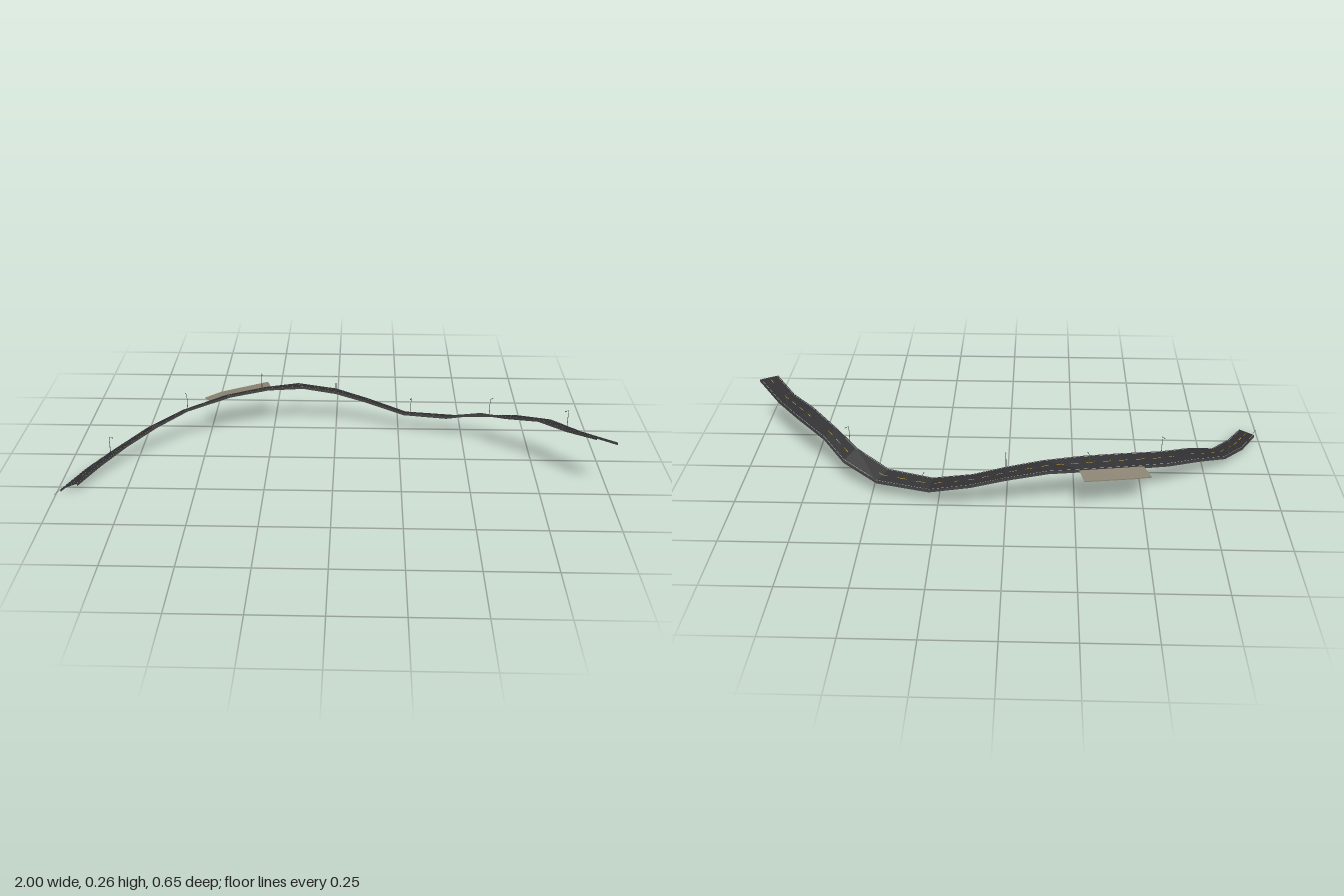
import * as THREE from 'three';

// Road stations: outer edge x, y, z then inner edge x, y, z
const S = [
  [-0.988, 0.01, 0.285, -0.925, 0.035, 0.285], [-0.92, 0.027, 0.155, -0.862, 0.053, 0.17],
  [-0.835, 0.05, 0.043, -0.783, 0.077, 0.06], [-0.72, 0.095, -0.055, -0.68, 0.121, -0.015],
  [-0.595, 0.127, -0.145, -0.57, 0.153, -0.096], [-0.435, 0.157, -0.22, -0.41, 0.182, -0.165],
  [-0.28, 0.172, -0.267, -0.265, 0.194, -0.208], [-0.152, 0.178, -0.294, -0.13, 0.19, -0.235],
  [0, 0.152, -0.302, 0, 0.165, -0.243], [0.125, 0.115, -0.294, 0.12, 0.13, -0.24],
  [0.28, 0.072, -0.262, 0.27, 0.092, -0.208], [0.475, 0.08, -0.22, 0.435, 0.1, -0.165],
  [0.605, 0.12, -0.145, 0.56, 0.15, -0.1], [0.69, 0.165, -0.055, 0.645, 0.18, -0.01],
  [0.805, 0.197, 0.043, 0.75, 0.218, 0.085], [0.9, 0.205, 0.155, 0.84, 0.224, 0.177],
  [1.0, 0.231, 0.285, 0.925, 0.25, 0.285],
];
const LAST = S.length - 1;

// Point at station u, t across the road (0 outer, 1 inner), raised by lift
function at(u, t, lift = 0) {
  const i = Math.min(LAST - 1, Math.max(0, Math.floor(u)));
  const p = S[i].map((v, k) => v + (S[i + 1][k] - v) * (u - i));
  const a = new THREE.Vector3(p[0], p[1], p[2]);
  const b = new THREE.Vector3(p[3], p[4], p[5]);
  a.lerp(b, t).y += lift;
  return a;
}

const mat = (color) => new THREE.MeshStandardMaterial({ color, side: THREE.DoubleSide, flatShading: true });

// Ribbon along the road between two [t, lift] rails
function strip(name, u0, u1, [tA, lA], [tB, lB], material) {
  const us = [u0];
  for (let u = Math.floor(u0) + 1; u < u1; u++) us.push(u);
  us.push(u1);
  const pos = [];
  for (let i = 0; i < us.length - 1; i++) {
    const a = at(us[i], tA, lA), b = at(us[i], tB, lB);
    const c = at(us[i + 1], tB, lB), d = at(us[i + 1], tA, lA);
    for (const p of [a, b, c, a, c, d]) pos.push(p.x, p.y, p.z);
  }
  const g = new THREE.BufferGeometry();
  g.setAttribute('position', new THREE.Float32BufferAttribute(pos, 3));
  g.computeVertexNormals();
  const mesh = new THREE.Mesh(g, material);
  mesh.name = name;
  return mesh;
}

// Street lamp whose arm reaches over the road
function lamp(u, side, material) {
  const group = new THREE.Group();
  group.name = 'streetLamp';
  const base = at(u, side, 0);
  const toRoad = at(u, 0.5).sub(base);
  group.position.copy(base);
  group.rotation.y = Math.atan2(-toRoad.z, toRoad.x);
  const add = (name, geometry, x, y) => {
    const m = new THREE.Mesh(geometry, material);
    m.name = name;
    m.position.set(x, y, 0);
    group.add(m);
  };
  add('lampPole', new THREE.CylinderGeometry(0.0008, 0.0013, 0.062, 6), 0, 0.031);
  add('lampArm', new THREE.BoxGeometry(0.016, 0.001, 0.001), 0.008, 0.062);
  add('lampHead', new THREE.BoxGeometry(0.006, 0.0014, 0.003), 0.014, 0.0615);
  return group;
}

export function createModel() {
  const root = new THREE.Group();
  root.name = 'coastalRoad';
  const asphalt = mat(0x303032), concrete = mat(0x444444), white = mat(0xb8b8b8);
  const yellow = mat(0xc09a20), tan = mat(0x8c8574), metal = mat(0x4a4d50);

  // Deck with hanging skirts along both edges
  root.add(strip('roadDeck', 0, LAST, [0, 0], [1, 0], asphalt));
  for (const t of [0, 1]) {
    root.add(strip('roadSkirt', 0, LAST, [t, 0], [t, -0.01], concrete));
    const e = t ? 0.94 : 0.06;
    root.add(strip('edgeLine', 0, LAST, [e - 0.008, 0.0007], [e + 0.008, 0.0007], white));
  }

  // Dashed centre line
  for (let u = 0.1; u < LAST - 0.2; u += 0.4) {
    root.add(strip('centreDash', u, u + 0.2, [0.485, 0.0007], [0.515, 0.0007], yellow));
  }

  // Lay-by on the outer side
  root.add(strip('layby', 4.6, 6.15, [-1, 0.013], [0, -0.001], tan));
  root.add(strip('laybySkirt', 4.6, 6.15, [-1, 0.013], [-1, 0.009], tan));

  // Thin edge strip running past the left end
  root.add(strip('edgeTail', -0.3, 0, [0.11, 0.004], [0.14, 0.003], metal));

  // Lamps alternating between the two sides
  [1.85, 4, 5.9, 8, 10.1, 12.35, 14.52].forEach((u, i) => root.add(lamp(u, i % 2 ? 1 : 0, metal)));
  return root;
}
